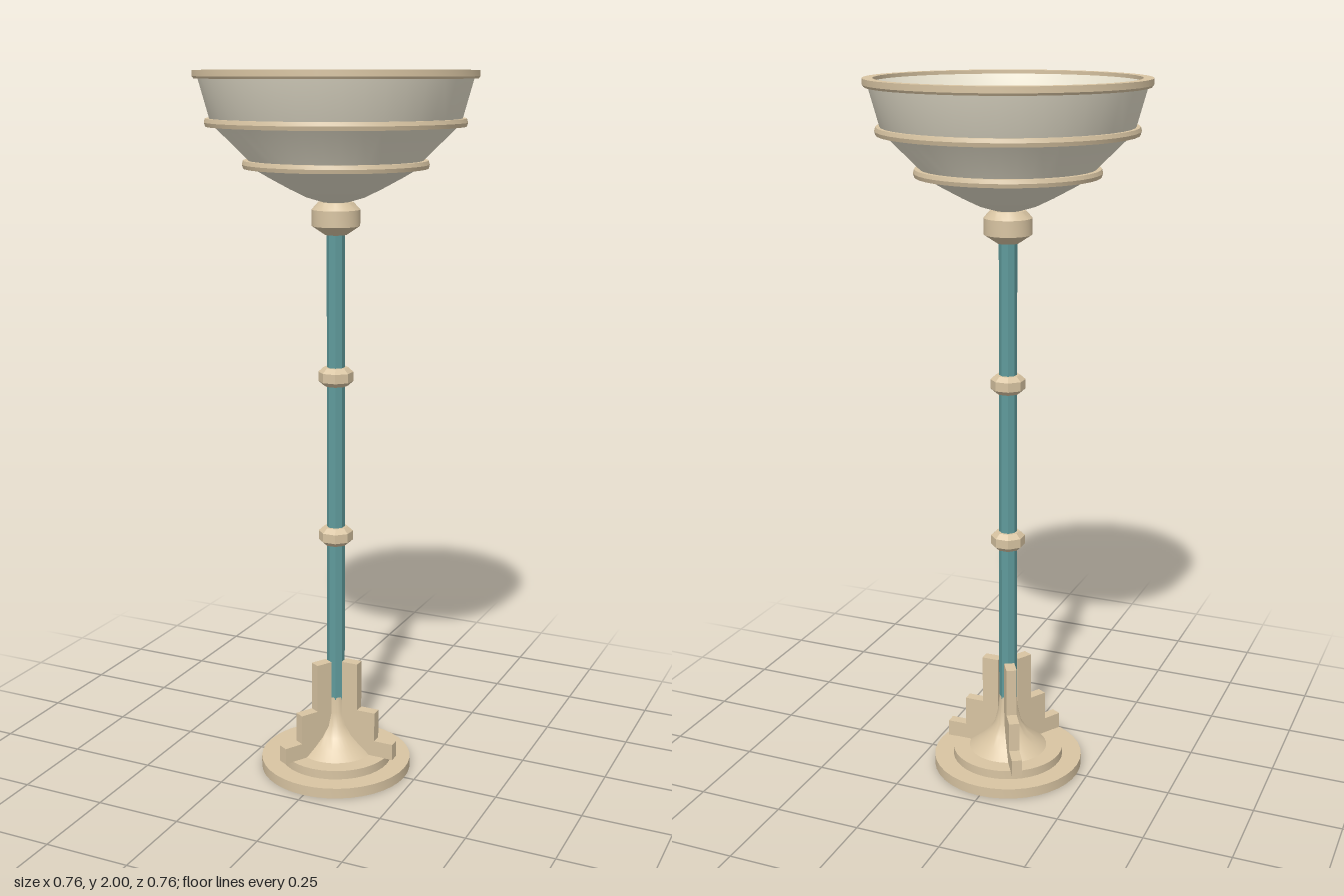
import * as THREE from 'three';
import { toCreasedNormals } from 'three/addons/utils/BufferGeometryUtils.js';

const material = (name, color) => {
  const m = new THREE.MeshStandardMaterial({ color });
  m.name = name;
  return m;
};

export function createModel() {
  const lamp = new THREE.Group();
  lamp.name = 'floorLamp';
  const tan = material('tanMetal', 0xd8c4a2);
  const teal = material('tealMetal', 0x5f9a9b);
  const cream = material('creamGlass', 0xe3ddca);

  const add = (name, geometry, mat) => {
    const mesh = new THREE.Mesh(geometry, mat);
    mesh.name = name;
    lamp.add(mesh);
    return mesh;
  };
  // Profiles are [radius, height] pairs, running up the outside
  const turned = (name, profile, mat, sides = 40, crease = 0.5) => {
    const points = profile.map(([r, y]) => new THREE.Vector2(r, y));
    return add(name, toCreasedNormals(new THREE.LatheGeometry(points, sides), crease), mat);
  };

  // Stepped round base
  turned('basePlate', [[0, 0], [0.219, 0], [0.219, 0.03], [0, 0.03]], tan);
  turned('baseStep', [[0.163, 0.03], [0.163, 0.056], [0, 0.056]], tan);

  // Concave flare from the base up to the column
  turned('baseFlare', [
    [0.116, 0.055], [0.085, 0.08], [0.058, 0.106], [0.039, 0.135],
    [0.03, 0.175], [0.025, 0.22], [0, 0.22],
  ], tan);

  // Three stepped fins around the foot
  const finShape = new THREE.Shape([
    [0.026, 0.055], [0.187, 0.055], [0.187, 0.103], [0.13, 0.103],
    [0.13, 0.19], [0.075, 0.19], [0.075, 0.333], [0.026, 0.333],
  ].map(([x, y]) => new THREE.Vector2(x, y)));
  const finGeometry = new THREE.ExtrudeGeometry(finShape, { depth: 0.03, bevelEnabled: false });
  finGeometry.translate(0, 0, -0.015);
  for (let i = 0; i < 3; i++) {
    add('steppedFin' + (i + 1), finGeometry, tan).rotation.y = (i * Math.PI * 2) / 3;
  }

  // Octagonal column
  turned('column', [[0, 0.2], [0.026, 0.2], [0.025, 1.575], [0, 1.575]], teal, 8, 0.1)
    .rotation.y = Math.PI / 8;

  // Octagonal bands on the column
  [0.713, 1.175].forEach((y, i) => {
    const band = turned('columnBand' + (i + 1), [
      [0, y - 0.026], [0.034, y - 0.026], [0.049, y - 0.013],
      [0.049, y + 0.013], [0.034, y + 0.026], [0, y + 0.026],
    ], tan, 8, 0.1);
    band.rotation.y = Math.PI / 8;
  });

  // Collar under the bowl
  turned('bowlCollar', [
    [0, 1.567], [0.03, 1.567], [0.066, 1.591], [0.066, 1.635], [0.048, 1.655], [0, 1.655],
  ], tan, 32);

  // Tiered outside of the bowl
  turned('bowlOutside', [
    [0, 1.65], [0.03, 1.653], [0.08, 1.668], [0.125, 1.69], [0.18, 1.72], [0.228, 1.748],
    [0.234, 1.765], [0.328, 1.858], [0.336, 1.873], [0.367, 1.985],
  ], cream);

  // Shallow inside of the bowl, part of a sphere
  const inner = [];
  const radius = 0.45;
  const rimAngle = Math.asin(0.352 / radius);
  const centreY = 1.99 + radius * Math.cos(rimAngle);
  for (let i = 0; i <= 12; i++) {
    const a = rimAngle * (1 - i / 12);
    inner.push([radius * Math.sin(a), centreY - radius * Math.cos(a)]);
  }
  turned('bowlInside', inner, cream);

  // Trim rings on the tiers and the rim
  const ring = (name, y0, y1, rIn, rOut) => turned(name, [
    [rIn, y0], [rOut - 0.003, y0], [rOut, (y0 + y1) / 2], [rOut - 0.003, y1], [rIn, y1],
  ], tan);
  ring('lowerTrim', 1.745, 1.766, 0.225, 0.252);
  ring('middleTrim', 1.855, 1.876, 0.325, 0.351);
  turned('bowlRim', [
    [0.352, 1.978], [0.376, 1.978], [0.38, 1.984], [0.38, 2], [0.352, 2], [0.352, 1.978],
  ], tan);

  return lamp;
}
